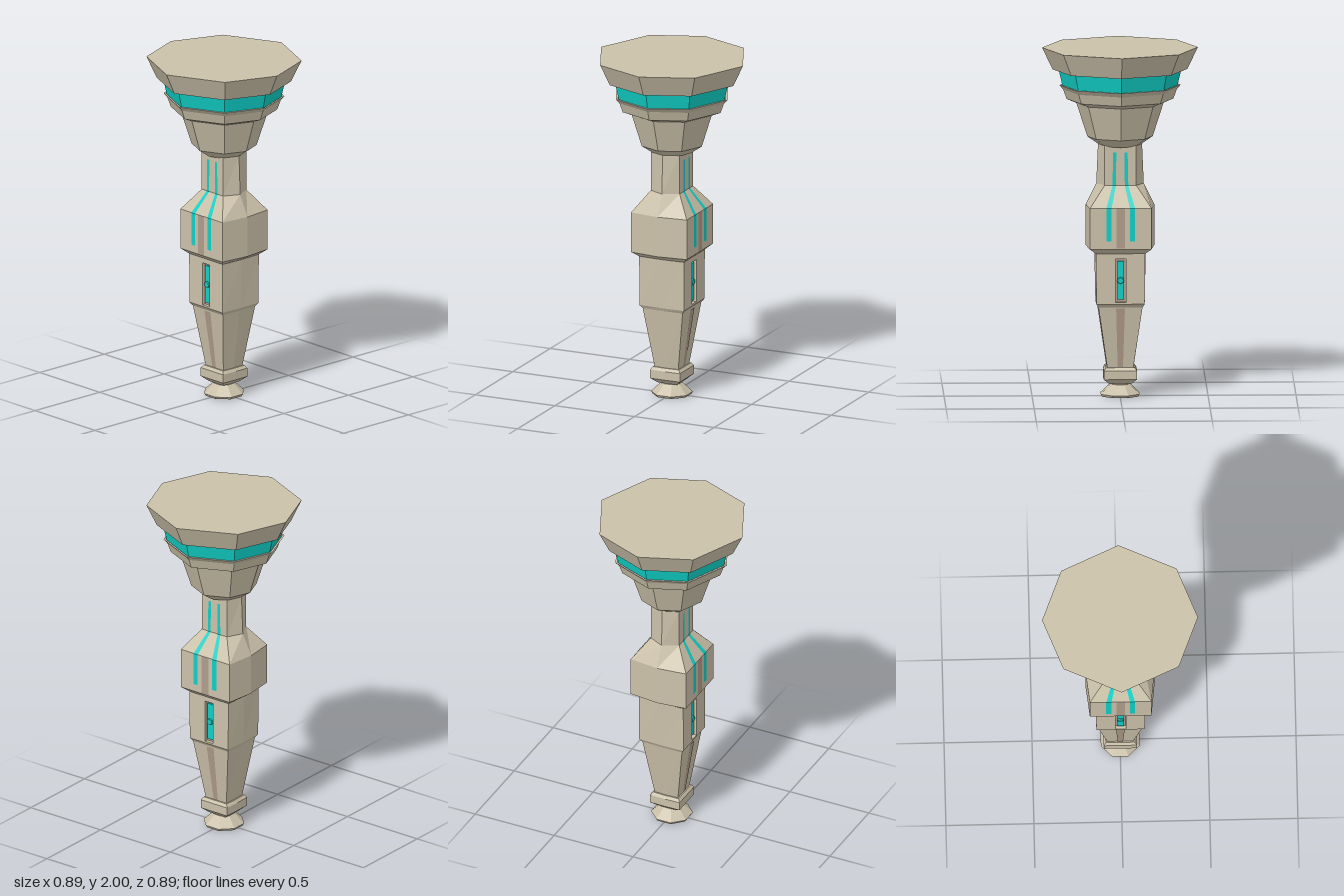
import * as THREE from 'three';

const material = (color, side = THREE.FrontSide) =>
  new THREE.MeshStandardMaterial({ color, flatShading: true, side });
const STONE = material(0xcbc1aa);
const BROWN = material(0xb09d8b, THREE.DoubleSide);
const TEAL = material(0x10cfc6, THREE.DoubleSide);

function addMesh(parent, name, geometry, mat = STONE) {
  const mesh = new THREE.Mesh(geometry, mat);
  mesh.name = name;
  parent.add(mesh);
  return mesh;
}

// Plan outlines, counter-clockwise from above, as [x, z] corners.
const octagon = (r) => [
  [1, 0], [0.667, -0.737], [0, -0.995], [-0.667, -0.737],
  [-1, 0], [-0.667, 0.737], [0, 0.995], [0.667, 0.737],
].map(([x, z]) => [x * r, z * r]);

// Flat sides, with a shallow ridge of depth b down the front and back.
const ridged = (hx, hz, b) => [[hx, hz], [hx, -hz], [0, -b], [-hx, -hz], [-hx, hz], [0, b]];

// Joins outlines [y, corners] from bottom to top into a closed faceted solid.
// skip(section, edge) leaves out chosen faces.
function loft(sections, skip = () => false) {
  const pos = [];
  const n = sections[0][1].length;
  const at = (s, i) => {
    const [x, z] = sections[s][1][i % n];
    return [x, sections[s][0], z];
  };
  for (let s = 0; s < sections.length - 1; s++) {
    for (let i = 0; i < n; i++) {
      if (skip(s, i)) continue;
      const a = at(s, i), b = at(s, i + 1), c = at(s + 1, i + 1), d = at(s + 1, i);
      pos.push(...a, ...b, ...c, ...a, ...c, ...d);
    }
  }
  const last = sections.length - 1;
  for (let i = 0; i < n; i++) {
    pos.push(0, sections[0][0], 0, ...at(0, i + 1), ...at(0, i));
    pos.push(0, sections[last][0], 0, ...at(last, i), ...at(last, i + 1));
  }
  return fromPositions(pos);
}

function fromPositions(pos) {
  const g = new THREE.BufferGeometry();
  g.setAttribute('position', new THREE.Float32BufferAttribute(pos, 3));
  g.computeVertexNormals();
  return g;
}

// Flat inlay on the +x side through points [x, y, z, width], top to bottom.
function ribbon(points) {
  const pos = [];
  for (let i = 0; i < points.length - 1; i++) {
    const [p, q] = [points[i], points[i + 1]];
    const corner = ([x, y, z, w], s) => [x + 0.002, y, z + (s * w) / 2];
    const a = corner(q, 1), b = corner(q, -1), c = corner(p, -1), d = corner(p, 1);
    pos.push(...a, ...b, ...c, ...a, ...c, ...d);
  }
  return fromPositions(pos);
}

// Inlays, recess and lamp of one side, modelled facing +x.
function sideDetails(name) {
  const side = new THREE.Group();
  side.name = name;
  for (const s of [1, -1]) {
    addMesh(side, 'glowStrip', ribbon([
      [0.09, 1.41, s * 0.032, 0.018], [0.09, 1.22, s * 0.035, 0.02],
      [0.175, 1.1, s * 0.067, 0.03], [0.175, 0.91, s * 0.067, 0.03],
    ]), TEAL);
  }
  addMesh(side, 'upperInlay', ribbon([[0.175, 1.1, 0, 0.05], [0.175, 0.87, 0, 0.05]]), BROWN);
  addMesh(side, 'lowerInlay', ribbon([[0.127, 0.52, 0, 0.05], [0.075, 0.175, 0, 0.03]]), BROWN);

  // Wall panel with a rectangular opening
  const panel = new THREE.Shape([
    [-0.137, 0.545], [0.137, 0.545], [0.14, 0.835], [-0.14, 0.835],
  ].map(([x, y]) => new THREE.Vector2(x, y)));
  panel.holes.push(new THREE.Path([
    [-0.03, 0.555], [-0.03, 0.805], [0.03, 0.805], [0.03, 0.555],
  ].map(([x, y]) => new THREE.Vector2(x, y))));
  const wall = new THREE.ExtrudeGeometry(panel, { depth: 0.025, bevelEnabled: false });
  wall.rotateY(Math.PI / 2).translate(0.115, 0, 0);
  addMesh(side, 'recessedPanel', wall);

  addMesh(side, 'recessFloor', new THREE.BoxGeometry(0.006, 0.26, 0.07), BROWN)
    .position.set(0.115, 0.68, 0);
  addMesh(side, 'lamp', new THREE.BoxGeometry(0.012, 0.22, 0.04), TEAL)
    .position.set(0.122, 0.68, 0);
  const knob = addMesh(side, 'lampKnob', new THREE.CylinderGeometry(0.017, 0.02, 0.01, 8), TEAL);
  knob.rotation.z = -Math.PI / 2;
  knob.position.set(0.132, 0.68, 0);
  return side;
}

export function createModel() {
  const model = new THREE.Group();
  model.name = 'pedestalColumn';

  // Foot: flared octagonal disc
  const foot = new THREE.LatheGeometry([
    [0, 0], [0.11, 0], [0.119, 0.014], [0.06, 0.07], [0.06, 0.09], [0, 0.09],
  ].map(([r, y]) => new THREE.Vector2(r, y)), 8, Math.PI / 8);
  addMesh(model, 'foot', foot);

  // Square collar above the foot
  addMesh(model, 'ankleCollar', loft([
    [0.075, ridged(0.06, 0.06, 0.062)],
    [0.105, ridged(0.094, 0.094, 0.096)],
    [0.155, ridged(0.094, 0.094, 0.096)],
    [0.172, ridged(0.082, 0.082, 0.085)],
  ]));

  // Shaft: tapered leg, panelled block, shoulder and neck.
  // Section 2 leaves its two sides open for the recessed panels.
  addMesh(model, 'shaft', loft([
    [0.165, ridged(0.073, 0.073, 0.077)],
    [0.525, ridged(0.125, 0.125, 0.13)],
    [0.545, ridged(0.14, 0.137, 0.14)],
    [0.835, ridged(0.14, 0.14, 0.146)],
    [0.865, ridged(0.175, 0.175, 0.195)],
    [1.1, ridged(0.175, 0.175, 0.195)],
    [1.22, ridged(0.09, 0.09, 0.135)],
    [1.45, ridged(0.09, 0.09, 0.125)],
  ], (section, edge) => section === 2 && edge % 3 === 0));

  const left = sideDetails('leftDetails');
  const right = sideDetails('rightDetails');
  right.rotation.y = Math.PI;
  model.add(left, right);

  // Flared octagonal capital
  const tiers = (rows) => loft(rows.map(([y, r]) => [y, octagon(r)]));
  addMesh(model, 'capitalBowl', tiers([[1.44, 0.115], [1.49, 0.187], [1.685, 0.25]]));
  addMesh(model, 'capitalRing', tiers([
    [1.68, 0.245], [1.705, 0.305], [1.76, 0.325], [1.785, 0.347], [1.785, 0.335], [1.77, 0.32],
  ]));
  addMesh(model, 'glowBand', tiers([[1.765, 0.325], [1.88, 0.352]]), TEAL);
  addMesh(model, 'topSlab', tiers([[1.875, 0.385], [2, 0.445]]));

  return model;
}
